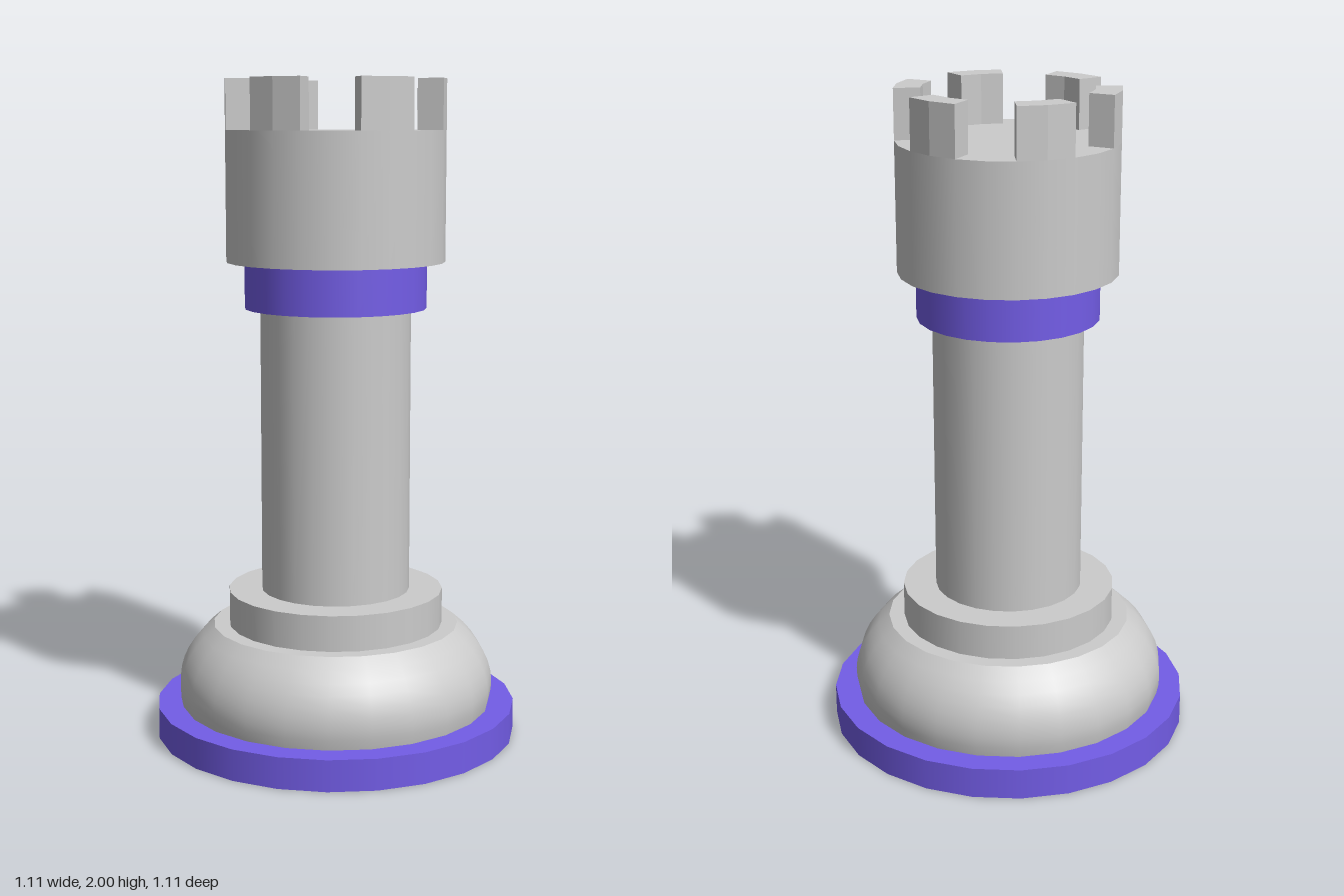
import * as THREE from 'three';

const SIDES = 24;

export function createModel() {
  const group = new THREE.Group();
  const grey = new THREE.MeshStandardMaterial({ color: 0xcccccc });
  const purple = new THREE.MeshStandardMaterial({ color: 0x735de7 });

  const add = (name, geometry, material = grey) => {
    const mesh = new THREE.Mesh(geometry, material);
    mesh.name = name;
    group.add(mesh);
    return mesh;
  };
  const drum = (name, radius, y0, y1, material) => {
    const geometry = new THREE.CylinderGeometry(radius, radius, y1 - y0, SIDES);
    add(name, geometry.translate(0, (y0 + y1) / 2, 0), material);
  };

  // Stacked round parts, from the foot to the head
  drum('basePlate', 0.555, 0, 0.095, purple);
  drum('collar', 0.33, 0.34, 0.45);
  drum('shaft', 0.228, 0.45, 1.32);
  drum('neckRing', 0.275, 1.32, 1.46, purple);
  drum('towerHead', 0.33, 1.46, 1.85);

  // Bulging foot: a slice of a flattened sphere, with a flat top
  const profile = [];
  for (let i = 0; i <= 8; i++) {
    const y = THREE.MathUtils.lerp(0.095, 0.342, i / 8);
    profile.push(new THREE.Vector2(0.487 * Math.sqrt(1 - ((y - 0.15) / 0.305) ** 2), y));
  }
  add('domedFoot', new THREE.LatheGeometry(profile, SIDES));
  const top = profile[profile.length - 1];
  add('footTop', new THREE.CircleGeometry(top.x, SIDES).rotateX(-Math.PI / 2).translate(0, top.y, 0));

  // Six battlements, each a 30 degree block of the rim
  const step = Math.PI / 12;
  const at = (r, a) => new THREE.Vector2(r * Math.cos(a), r * Math.sin(a));
  const block = new THREE.Shape([
    at(0.33, -step), at(0.33, 0), at(0.33, step),
    at(0.252, step), at(0.252, 0), at(0.252, -step),
  ]);
  const blockGeometry = new THREE.ExtrudeGeometry(block, { depth: 0.15, bevelEnabled: false });
  blockGeometry.rotateX(-Math.PI / 2).translate(0, 1.85, 0);
  for (let i = 0; i < 6; i++) {
    add(`battlement${i + 1}`, blockGeometry).rotation.y = (i * Math.PI) / 3;
  }

  return group;
}
